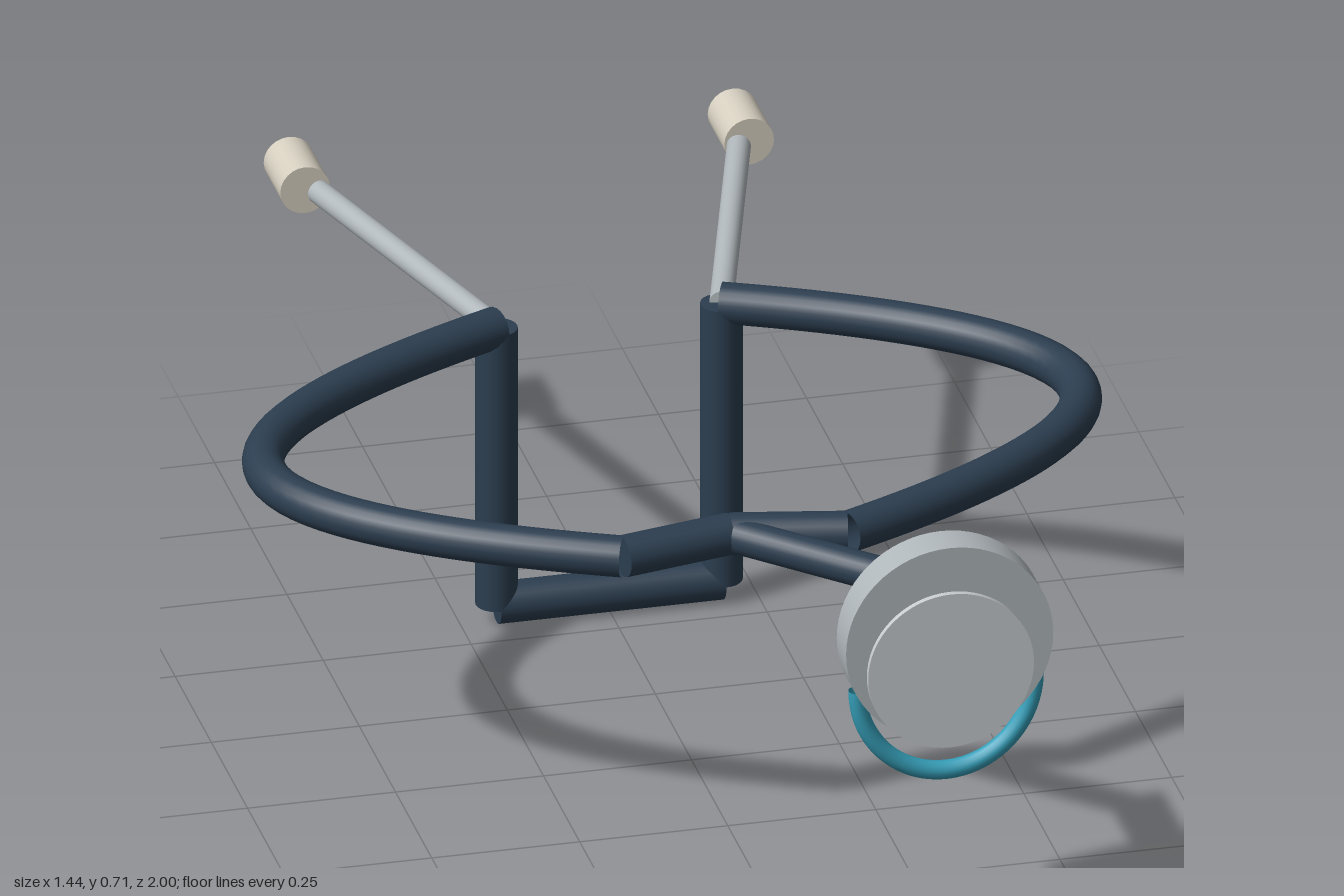
import * as THREE from 'three';

const mat = (color) => new THREE.MeshStandardMaterial({ color, side: THREE.DoubleSide });
const V = (x, y, z) => new THREE.Vector3(x, y, z);

export function createModel() {
  const model = new THREE.Group();
  const rubber = mat(0x2c3e50), steel = mat(0xb0b7bb), plate = mat(0xc8cccf);
  const cream = mat(0xd6cfc0), teal = mat(0x36a0ba);
  const Y = 0.545, R = 0.035;

  const add = (name, geometry, material) => {
    const mesh = new THREE.Mesh(geometry, material);
    mesh.name = name;
    model.add(mesh);
    return mesh;
  };
  // Capped straight cylinder between two points
  const rod = (name, a, b, radius, material, sides = 24) => {
    const dir = b.clone().sub(a);
    const mesh = add(name, new THREE.CylinderGeometry(radius, radius, dir.length(), sides), material);
    mesh.position.copy(a).add(b).multiplyScalar(0.5);
    mesh.quaternion.setFromUnitVectors(V(0, 1, 0), dir.normalize());
    return mesh;
  };

  // Mirrored parts: side loop, drop tube, front link, ear tube and ear tip
  for (const [side, s] of [['left', 1], ['right', -1]]) {
    const back = V(s * 0.19, Y, -0.32), front = V(s * 0.19, Y, 0.55);
    const loop = new THREE.QuadraticBezierCurve3(back, V(s * 1.18, Y, 0.115), front);
    add(side + 'LoopTube', new THREE.TubeGeometry(loop, 48, R, 20), rubber);
    rod(side + 'FrontLink', front, V(0, Y, 0.51), R, rubber);
    rod(side + 'DropTube', back, V(s * 0.19, 0.04, -0.32), R, rubber);
    rod(side + 'EarTube', back, V(s * 0.355, Y, -0.875), 0.02, steel);
    rod(side + 'EarTip', V(s * 0.375, Y, -0.885), V(s * 0.375, Y, -1), 0.042, cream);
  }

  // Bottom bar of the U and tube to the chest piece
  rod('bottomTube', V(-0.19, 0.04, -0.32), V(0.19, 0.04, -0.32), R, rubber);
  rod('chestTube', V(0, Y, 0.51), V(0.255, Y, 0.765), 0.03, rubber);

  // Chest piece
  const cx = 0.255;
  rod('chestStem', V(cx, Y, 0.73), V(cx, Y, 0.95), 0.038, steel);
  rod('chestDisc', V(cx, Y, 0.925), V(cx, Y, 0.99), 0.175, steel, 64);
  rod('diaphragm', V(cx, 0.5, 0.915), V(cx, 0.5, 1), 0.14, plate, 64);

  // Half ring hanging under the disc
  const ring = add('lowerRing', new THREE.TorusGeometry(0.15, 0.015, 14, 48, Math.PI), teal);
  ring.rotation.z = Math.PI;
  ring.scale.y = 1.08;
  ring.position.set(cx, 0.465, 0.965);

  return model;
}
